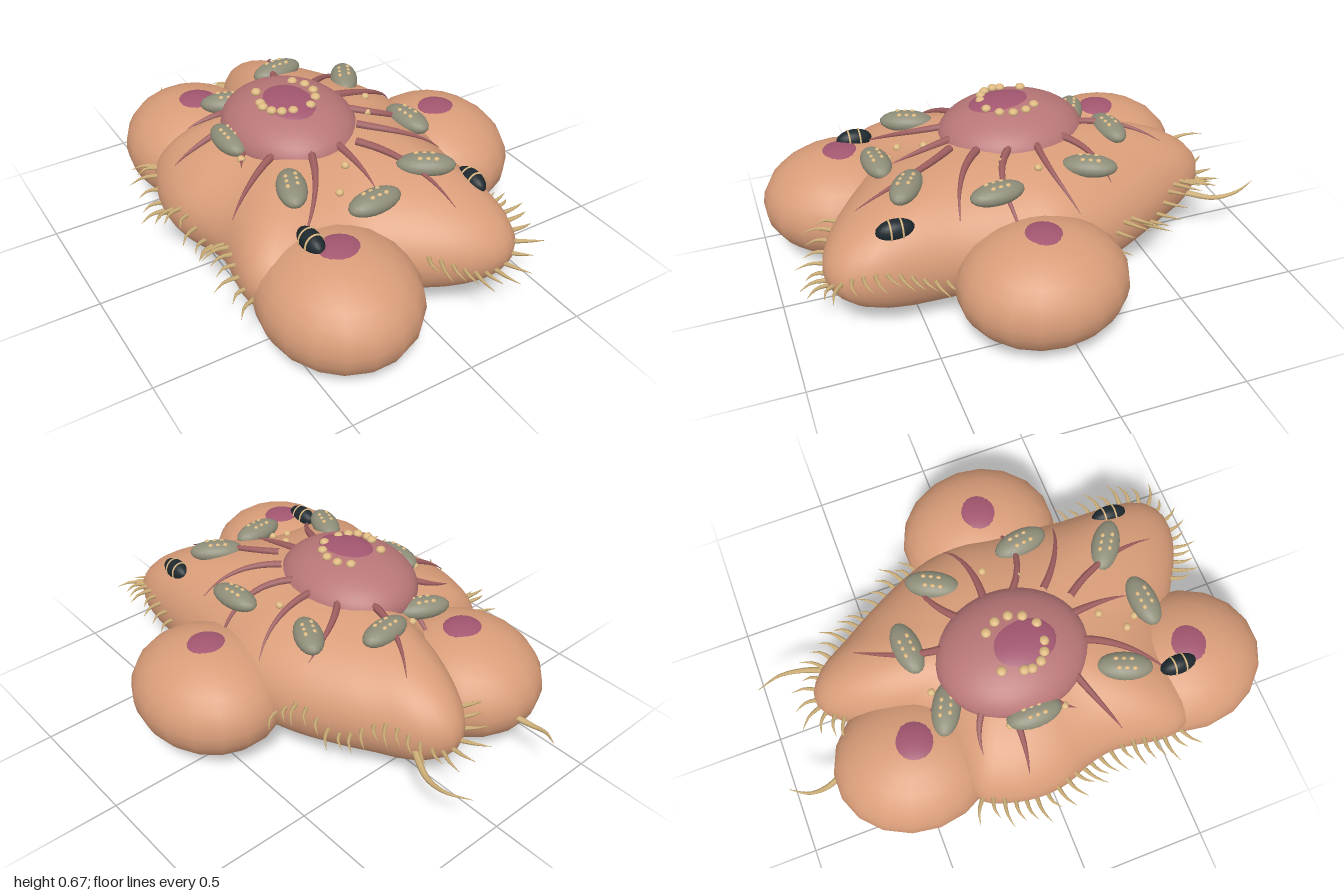
import * as THREE from 'three';
import { mergeGeometries, mergeVertices } from 'three/addons/utils/BufferGeometryUtils.js';

const mat = (name, color) => Object.assign(new THREE.MeshStandardMaterial({ color }), { name });
const V = (x, y, z) => new THREE.Vector3(x, y, z);

// Membrane outline seen from above, as x, z pairs
const OUTLINE = [
  [0.03, -0.79], [0.12, -0.73], [0.2, -0.6], [0.28, -0.47], [0.38, -0.27], [0.43, -0.1], [0.44, 0], [0.42, 0.12],
  [0.4, 0.25], [0.38, 0.4], [0.375, 0.55], [0.37, 0.68], [0.34, 0.79], [0.27, 0.845], [0.18, 0.85], [0.06, 0.81],
  [-0.06, 0.74], [-0.2, 0.65], [-0.37, 0.62], [-0.53, 0.61], [-0.61, 0.56], [-0.63, 0.48], [-0.6, 0.25],
  [-0.62, 0.14], [-0.66, 0.03], [-0.67, -0.08], [-0.65, -0.2], [-0.6, -0.31], [-0.5, -0.35], [-0.32, -0.38],
  [-0.22, -0.45], [-0.17, -0.58], [-0.1, -0.71], [-0.04, -0.775],
];
const CX = -0.05, MID = 0.29, HALF = 0.285;
const rimCurve = new THREE.CatmullRomCurve3(OUTLINE.map(([x, z]) => V(x, MID, z)), true);
const rimPts = rimCurve.getSpacedPoints(180);

// Distance from the centre to the outline in direction a
function rim(a) {
  const dx = Math.cos(a), dz = Math.sin(a);
  let best = 0.4;
  for (let i = 0; i < 180; i++) {
    const p = rimPts[i], q = rimPts[i + 1];
    const c0 = dx * p.z - dz * (p.x - CX), c1 = dx * q.z - dz * (q.x - CX);
    if (c0 * c1 > 0 || c0 === c1) continue;
    const t = c0 / (c0 - c1);
    const r = dx * (p.x + (q.x - p.x) * t - CX) + dz * (p.z + (q.z - p.z) * t);
    if (r > 0) best = r;
  }
  return best;
}
const rise = (s) => HALF * Math.sqrt(Math.max(0, 1 - s ** 2.4));
const topY = (x, z) => MID + rise(Math.min(1, Math.hypot(x - CX, z) / rim(Math.atan2(z, x - CX))));

// Star-shaped flattened membrane made from a sphere
function membraneGeometry() {
  const g = new THREE.SphereGeometry(1, 112, 36);
  const p = g.attributes.position;
  for (let i = 0; i < p.count; i++) {
    const x = p.getX(i), z = p.getZ(i), s = Math.min(1, Math.hypot(x, z));
    const a = Math.atan2(z, x), r = rim(a) * s;
    p.setXYZ(i, CX + r * Math.cos(a), MID + Math.sign(p.getY(i)) * rise(s), r * Math.sin(a));
  }
  g.deleteAttribute('uv');
  g.deleteAttribute('normal');
  const merged = mergeVertices(g, 1e-4);
  merged.computeVertexNormals();
  return merged;
}

// Tube that narrows to a point
function taper(points, radius, segs = 8, sides = 5) {
  const curve = new THREE.CatmullRomCurve3(points);
  const g = new THREE.TubeGeometry(curve, segs, radius, sides);
  const p = g.attributes.position, v = V(0, 0, 0);
  for (let i = 0; i < p.count; i++) {
    const t = Math.floor(i / (sides + 1)) / segs;
    v.fromBufferAttribute(p, i).lerp(curve.getPointAt(t), 0.95 * t ** 1.5);
    p.setXYZ(i, v.x, v.y, v.z);
  }
  return g;
}

export function createModel() {
  const group = new THREE.Group();
  const skin = mat('skin', 0xd99d79), dome = mat('nucleusPink', 0xb87677), plum = mat('plum', 0xa2566f);
  const sage = mat('sage', 0x8e8d79), straw = mat('straw', 0xcfb078), cream = mat('cream', 0xddb981);
  const dark = mat('dark', 0x1d282e), root = mat('root', 0xa05f60);
  const add = (name, geo, m, parent = group) => {
    const mesh = new THREE.Mesh(geo, m);
    mesh.name = name;
    parent.add(mesh);
    return mesh;
  };
  const ball = (name, m, pos, size, parent = group, w = 20, h = 14) => {
    const b = add(name, new THREE.SphereGeometry(1, w, h), m, parent);
    b.position.set(...pos);
    b.scale.set(...size);
    return b;
  };

  add('membrane', membraneGeometry(), skin);

  // Neighbouring round cells, each with a small nucleus showing on top
  const cells = [[-0.345, 0.66], [-0.34, -0.49], [0.485, 0.09]];
  const spots = [[-0.345, 0.66], [-0.335, -0.48], [0.485, 0.09]];
  cells.forEach(([x, z], i) => {
    ball('roundCell', skin, [x, 0.25, z], [0.295, 0.222, 0.33], group, 18, 14);
    ball('cellNucleus', plum, [spots[i][0], 0.433, spots[i][1]], [0.105, 0.045, 0.105]);
  });

  // Main nucleus with its inner disc and ring of beads
  ball('nucleus', dome, [-0.153, 0.53, -0.01], [0.257, 0.143, 0.3], group, 40, 24);
  ball('nucleolus', plum, [-0.165, 0.627, 0.01], [0.125, 0.052, 0.16], group, 28, 16);
  const ring = [[-0.25, -0.09], [-0.275, -0.01], [-0.28, 0.02], [-0.265, 0.06], [-0.235, 0.085], [-0.195, 0.1],
    [-0.12, 0.1], [-0.075, 0.06], [-0.055, 0.01], [-0.06, -0.045], [-0.09, -0.09]];
  for (const [x, z] of ring) ball('ringBead', cream, [x, 0.664, z], [0.02, 0.015, 0.02], group, 10, 8);

  // Roots spreading from the nucleus over the membrane
  const roots = [
    [-0.06, -0.24, -0.05, -0.4, 0.08, -0.58], [0.03, -0.15, 0.13, -0.25, 0.28, -0.27],
    [0.06, -0.04, 0.25, -0.02, 0.38, -0.1], [0.06, 0.07, 0.2, 0.2, 0.41, 0.13],
    [0.03, 0.19, 0.14, 0.31, 0.31, 0.35], [-0.03, 0.28, 0.1, 0.45, 0.12, 0.7],
    [-0.1, 0.26, -0.08, 0.4, -0.09, 0.5], [-0.21, 0.25, -0.26, 0.42, -0.42, 0.55],
    [-0.3, 0.17, -0.4, 0.2, -0.56, 0.29], [-0.36, 0.04, -0.42, 0.09, -0.44, 0.14],
    [-0.36, -0.1, -0.46, -0.08, -0.6, -0.11], [-0.32, -0.19, -0.39, -0.25, -0.48, -0.25],
    [-0.22, -0.25, -0.24, -0.35, -0.23, -0.42],
  ];
  add('roots', mergeGeometries(roots.map((c) => {
    const path = new THREE.QuadraticBezierCurve3(V(c[0], 0, c[1]), V(c[2], 0, c[3]), V(c[4], 0, c[5]));
    return taper(path.getPoints(7).map((q) => V(q.x, topY(q.x, q.z) + 0.008, q.z)), 0.016, 14, 6);
  })), root);

  // Oval organelles with two rows of beads: x, z, turn in degrees
  const ovals = [[0, -0.38, 5], [0.22, -0.2, 62], [0.268, 0.19, 97], [0.13, 0.5, -33],
    [-0.13, 0.555, 4], [-0.36, 0.37, 68], [-0.41, -0.02, 90], [-0.265, -0.32, -25]];
  for (const [x, z, deg] of ovals) {
    const o = new THREE.Group();
    o.name = 'organelle';
    o.position.set(x, (topY(x, z) + 0.545) / 2, z);
    o.rotation.y = THREE.MathUtils.degToRad(deg);
    group.add(o);
    ball('organelleBody', sage, [0, 0, 0], [0.11, 0.041, 0.056], o);
    for (let i = -1; i <= 1; i++) for (const s of [-1, 1])
      ball('organelleBead', cream, [i * 0.03 + s * 0.006, 0.034, s * 0.018], [0.011, 0.009, 0.009], o, 8, 6);
  }

  // Dark ovals with light bands
  for (const [x, z] of [[-0.41, 0.585], [0.28, 0.585]]) {
    const o = new THREE.Group();
    o.name = 'bandedOval';
    o.position.set(x, 0.465, z);
    group.add(o);
    ball('ovalBody', dark, [0, 0, 0], [0.038, 0.042, 0.074], o);
    for (const dz of [-0.022, 0.022]) {
      const k = Math.sqrt(1 - (dz / 0.074) ** 2);
      const band = add('band', new THREE.TorusGeometry(0.038 * k, 0.004, 6, 24), cream, o);
      band.position.z = dz;
      band.scale.y = 1.1;
    }
  }

  // Loose granules
  for (const [x, z] of [[0.195, 0], [0.125, 0.12], [-0.13, 0.36], [-0.17, 0.5], [-0.21, 0.45], [-0.18, -0.35],
    [-0.42, 0.1], [-0.42, -0.12]])
    ball('granule', cream, [x, topY(x, z) + 0.006, z], [0.016, 0.014, 0.016], group, 10, 8);

  // Cilia in a wavy line round the rim, left out where the round cells cover it
  const cilia = [];
  const COUNT = 104;
  for (let i = 0; i < COUNT; i++) {
    const u = i / COUNT, p = rimCurve.getPointAt(u), t = rimCurve.getTangentAt(u);
    if (cells.some(([x, z]) => Math.hypot((p.x - x) / 0.295, (p.z - z) / 0.33) < 0.97)) continue;
    const out = V(t.z, 0, -t.x);
    const y = MID + 0.005 + 0.045 * Math.cos(12 * (Math.atan2(p.z, p.x + 0.1) - 0.977));
    const len = 0.085 + 0.02 * Math.sin(i * 2.4);
    const at = (o, side, up) => V(p.x, y + up, p.z).addScaledVector(out, o).addScaledVector(t, side);
    cilia.push(taper([at(-0.02, 0, 0), at(len * 0.5, -0.008, 0.006), at(len, -0.035, -0.004)], 0.01, 5, 5));
  }
  add('cilia', mergeGeometries(cilia), straw);

  // Two long whips at the back
  add('whips', mergeGeometries([
    taper([V(-0.29, 0.24, -0.77), V(-0.32, 0.22, -0.86), V(-0.32, 0.23, -0.93), V(-0.28, 0.245, -1)], 0.014, 14, 6),
    taper([V(0.13, 0.24, -0.69), V(0.18, 0.22, -0.8), V(0.19, 0.23, -0.9), V(0.155, 0.245, -1)], 0.014, 14, 6),
  ]), straw);

  return group;
}
